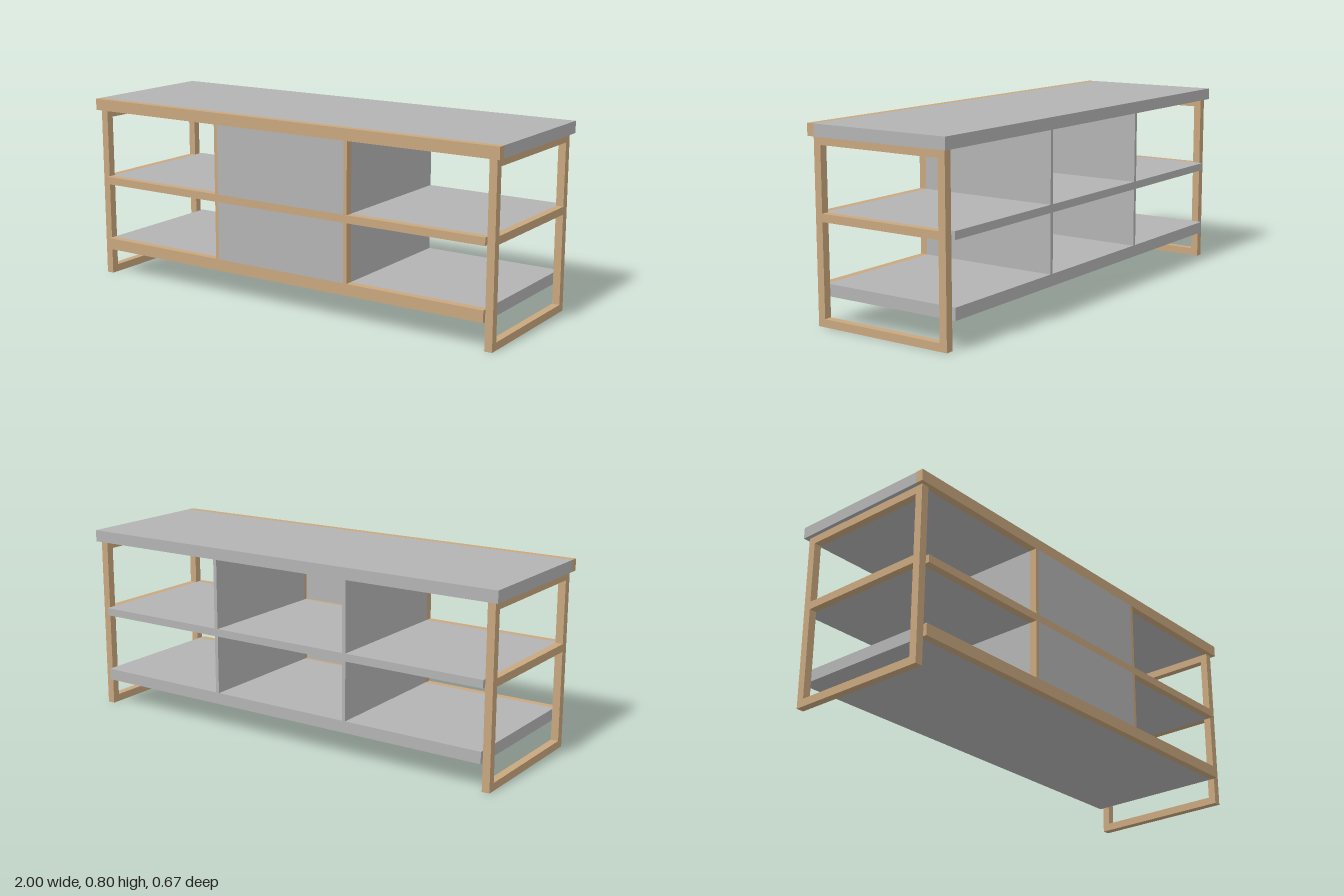
import * as THREE from 'three';

const wood = new THREE.MeshStandardMaterial({ color: 0xc8a77e });
wood.name = 'oak wood';
const grey = new THREE.MeshStandardMaterial({ color: 0xb3b3b3 });
grey.name = 'grey laminate';

const DEPTH = 0.667, LIP = 0.033;
const FRONT = DEPTH / 2;

function box(name, material, w, h, d, x, y, z) {
  const mesh = new THREE.Mesh(new THREE.BoxGeometry(w, h, d), material);
  mesh.name = name;
  mesh.position.set(x, y, z);
  return mesh;
}

// Grey board with a wooden lip along its front edge
function lippedBoard(name, x0, x1, y0, y1) {
  const board = new THREE.Group();
  board.name = name;
  const w = x1 - x0, h = y1 - y0, x = (x0 + x1) / 2, y = (y0 + y1) / 2;
  board.add(
    box(name + 'Core', grey, w, h, DEPTH - LIP, x, y, -LIP / 2),
    box(name + 'Lip', wood, w, h, LIP, x, y, FRONT - LIP / 2)
  );
  return board;
}

function rectangle(path, a, b, c, d) {
  path.moveTo(a, b);
  path.lineTo(c, b);
  path.lineTo(c, d);
  path.lineTo(a, d);
  path.closePath();
  return path;
}

// Side frame with two openings, extruded along x
function sideFrame(name, x) {
  const shape = rectangle(new THREE.Shape(), -0.317, 0, 0.317, 0.75);
  shape.holes.push(
    rectangle(new THREE.Path(), -0.284, 0.033, 0.284, 0.418),
    rectangle(new THREE.Path(), -0.284, 0.451, 0.284, 0.717)
  );
  const geometry = new THREE.ExtrudeGeometry(shape, { depth: 0.033, bevelEnabled: false });
  geometry.translate(0, 0, -0.0165);
  geometry.rotateY(Math.PI / 2);
  const mesh = new THREE.Mesh(geometry, wood);
  mesh.name = name;
  mesh.position.x = x;
  return mesh;
}

export function createModel() {
  const model = new THREE.Group();
  model.name = 'mediaConsole';

  // Horizontal boards
  model.add(
    lippedBoard('top', -1, 1, 0.75, 0.8),
    lippedBoard('middleShelf', -0.95, 0.95, 0.418, 0.451),
    lippedBoard('bottomShelf', -0.95, 0.95, 0.117, 0.167)
  );

  // Side frames
  model.add(sideFrame('leftFrame', 0.9665), sideFrame('rightFrame', -0.9665));

  // Dividers and centre front panels on both levels
  const levels = [['lower', 0.167, 0.418], ['upper', 0.451, 0.75]];
  for (const [level, y0, y1] of levels) {
    model.add(
      lippedBoard(level + 'LeftDivider', 0.317, 0.333, y0, y1),
      lippedBoard(level + 'RightDivider', -0.333, -0.317, y0, y1),
      box(level + 'FrontPanel', grey, 0.634, y1 - y0, 0.017, 0, (y0 + y1) / 2, FRONT - 0.0085)
    );
  }
  return model;
}
